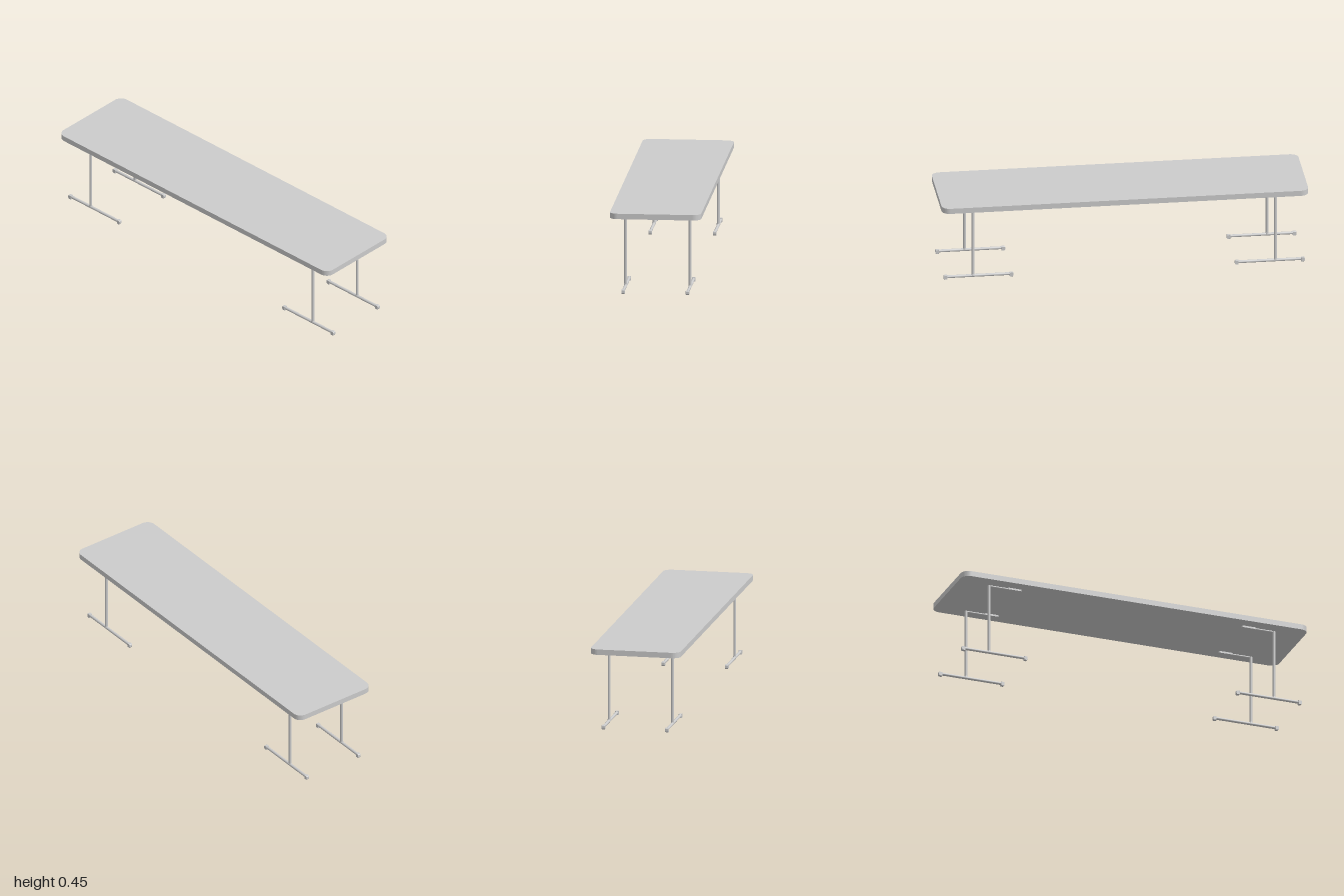
import * as THREE from 'three';

const material = new THREE.MeshStandardMaterial({ color: 0xcccccc });

function add(parent, name, geometry, x = 0, y = 0, z = 0) {
  const mesh = new THREE.Mesh(geometry, material);
  mesh.name = name;
  mesh.position.set(x, y, z);
  parent.add(mesh);
  return mesh;
}

// Round bar lying along z
function barZ(radius, length) {
  return new THREE.CylinderGeometry(radius, radius, length, 20).rotateX(Math.PI / 2);
}

// Slab with rounded corners in plan, lying flat with its underside at y = 0
function roundedSlab(w, d, r, h) {
  const s = new THREE.Shape();
  const x = w / 2, y = d / 2;
  s.moveTo(-x + r, -y);
  s.lineTo(x - r, -y);
  s.absarc(x - r, -y + r, r, -Math.PI / 2, 0);
  s.absarc(x - r, y - r, r, 0, Math.PI / 2);
  s.absarc(-x + r, y - r, r, Math.PI / 2, Math.PI);
  s.absarc(-x + r, -y + r, r, Math.PI, Math.PI * 1.5);
  return new THREE.ExtrudeGeometry(s, { depth: h, bevelEnabled: false, curveSegments: 10 })
    .rotateX(-Math.PI / 2);
}

// Foot end cap: profile in z/y, outer end at +z, extruded across x
function capGeometry() {
  const s = new THREE.Shape();
  s.moveTo(-0.01, 0);
  s.lineTo(0.006, 0);
  s.lineTo(0.01, 0.006);
  s.lineTo(0.01, 0.018);
  s.quadraticCurveTo(0.009, 0.023, 0.003, 0.023);
  s.lineTo(-0.01, 0.023);
  s.closePath();
  return new THREE.ExtrudeGeometry(s, { depth: 0.014, bevelThickness: 0.002, bevelSize: 0.001, bevelOffset: -0.001, bevelSegments: 2 })
    .translate(0, 0, -0.007).rotateY(-Math.PI / 2);
}

// One leg assembly, outer end of the table towards +z
function legAssembly() {
  const g = new THREE.Group();
  g.name = 'legAssembly';
  // Upright bending inwards under the top
  add(g, 'upright', new THREE.CylinderGeometry(0.008, 0.008, 0.392, 20), 0, 0.216, 0.825);
  add(g, 'elbow', new THREE.SphereGeometry(0.0075, 16, 10), 0, 0.4095, 0.825);
  add(g, 'hingeRod', barZ(0.005, 0.12), 0, 0.41, 0.767);
  add(g, 'mountingPlate', roundedSlab(0.016, 0.08, 0.005, 0.011), 0, 0.406, 0.678);
  // Foot rail with a weld collar and two end caps
  add(g, 'footRail', barZ(0.008, 0.36), 0, 0.014, 0.795);
  add(g, 'weldCollar', new THREE.CylinderGeometry(0.0085, 0.01, 0.008, 20), 0, 0.02, 0.825);
  add(g, 'outerCap', capGeometry(), 0, 0, 0.975);
  add(g, 'innerCap', capGeometry(), 0, 0, 0.614).rotation.y = Math.PI;
  return g;
}

export function createModel() {
  const model = new THREE.Group();
  model.name = 'bench';

  // Long top board
  add(model, 'tabletop', roundedSlab(0.496, 2, 0.045, 0.03), 0, 0.416, 0);

  // Four legs, a pair at each end
  for (const end of [0, Math.PI]) {
    for (const side of [-1, 1]) {
      const leg = legAssembly();
      leg.rotation.y = end;
      leg.position.x = side * 0.175;
      model.add(leg);
    }
  }
  return model;
}
